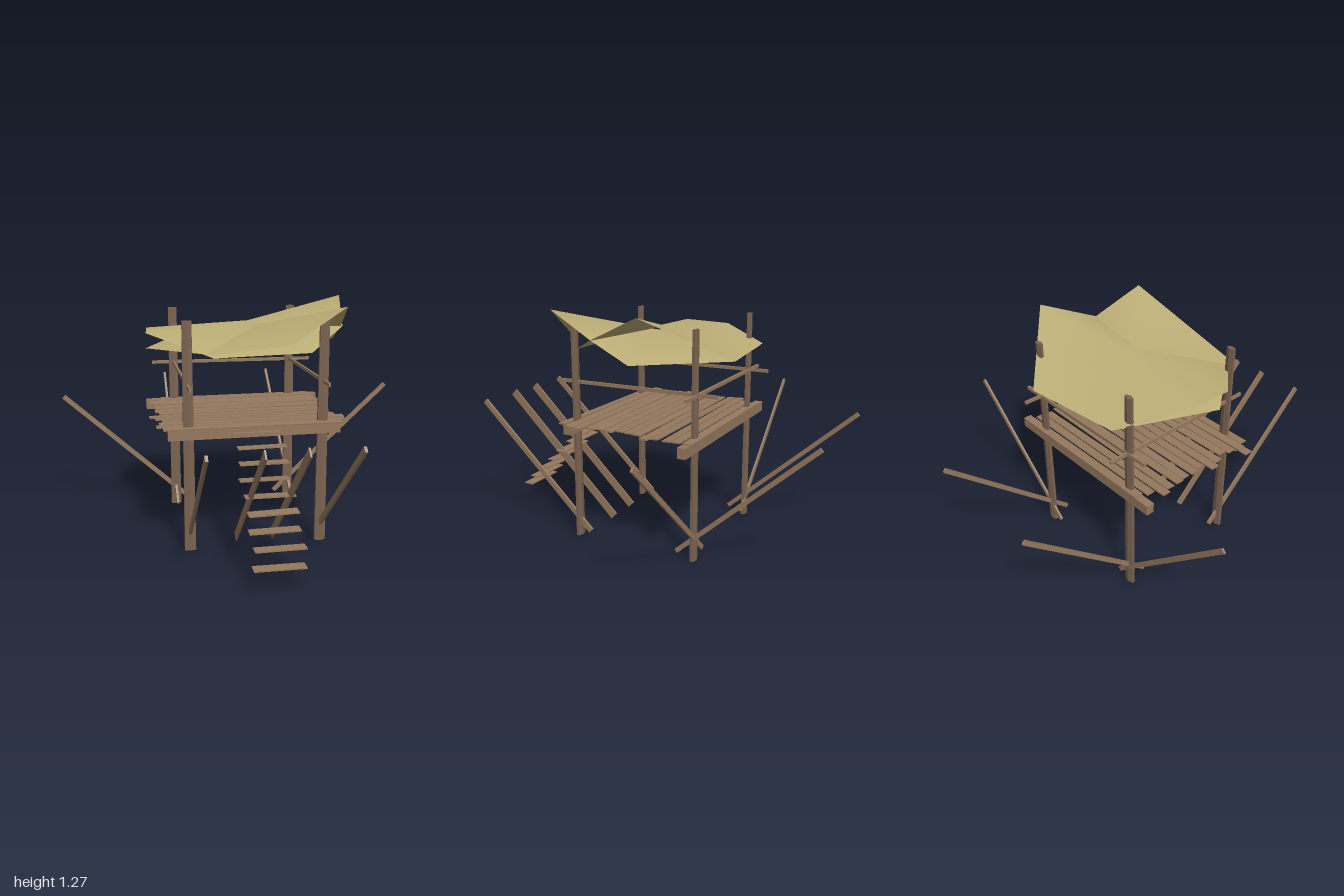
import * as THREE from 'three';

const wood = new THREE.MeshStandardMaterial({ color: 0x94785d, flatShading: true });
const darkWood = new THREE.MeshStandardMaterial({ color: 0x7a6350, flatShading: true });
const cloth = new THREE.MeshStandardMaterial({ color: 0xbdae76, side: THREE.DoubleSide });

export function createModel() {
  const model = new THREE.Group();
  let seed = 7;
  const rand = (a) => {
    seed = (seed * 16807) % 2147483647;
    return (seed / 2147483647 * 2 - 1) * a;
  };

  const add = (name, geometry, material) => {
    const mesh = new THREE.Mesh(geometry, material);
    mesh.name = name;
    model.add(mesh);
    return mesh;
  };

  // Straight timber between two points
  const bar = (name, from, to, width, height, material = wood) => {
    const a = new THREE.Vector3(...from), b = new THREE.Vector3(...to);
    const mesh = add(name, new THREE.BoxGeometry(width, height, a.distanceTo(b)), material);
    mesh.position.copy(a).add(b).multiplyScalar(0.5);
    mesh.lookAt(b);
    return mesh;
  };

  // Flattened, slightly tapered corner posts
  for (const x of [-0.345, 0.358]) {
    for (const z of [-0.35, 0.35]) {
      const post = add('post', new THREE.CylinderGeometry(0.028, 0.034, 1.2, 6), darkWood);
      post.scale.z = 0.5;
      post.position.set(x, 0.6, z);
    }
  }

  // Floor beams and planks
  bar('backBeam', [-0.51, 0.63, -0.36], [0.53, 0.63, -0.36], 0.045, 0.055);
  bar('frontBeam', [-0.45, 0.63, 0.355], [0.45, 0.63, 0.355], 0.045, 0.055);
  const planks = 14;
  for (let i = 0; i < planks; i++) {
    const z = -0.36 + i * 0.73 / (planks - 1);
    const plank = add('floorPlank', new THREE.BoxGeometry(0.95 + rand(0.05), 0.007, 0.047), wood);
    plank.position.set(rand(0.03), 0.661 + rand(0.003), z);
    plank.rotation.set(rand(0.1), rand(0.015), rand(0.003));
  }

  // Guard rails on the back and both sides
  bar('backRail', [-0.47, 0.88, -0.36], [0.485, 0.875, -0.36], 0.014, 0.018);
  for (const x of [-0.345, 0.358]) {
    bar('sideRail', [x, 0.875, 0.46], [x, 0.88, -0.47], 0.012, 0.018);
  }

  // Leaning poles spreading out from the post feet
  for (const s of [-1, 1]) {
    bar('sidePole', [s * 0.27, 0.035, -0.357], [s * 0.985, 0.695, -0.357], 0.012, 0.026);
    const x = s < 0 ? -0.345 : 0.358;
    bar('backPole', [x, 0.03, -0.25], [x, 0.695, -0.988], 0.014, 0.024);
    bar('frontPole', [x, 0.03, 0.28], [x, 0.695, 0.985], 0.014, 0.03);
  }

  // Front boards and flight of steps
  for (const x of [-0.09, 0.108]) {
    bar('stairBoard', [x, 0.022, 0.285], [x, 0.695, 0.98], 0.009, 0.048);
  }
  for (let i = 0; i < 9; i++) {
    const step = add('stairStep', new THREE.BoxGeometry(0.25, 0.006, 0.06), wood);
    step.position.set(0.008 + rand(0.01), 0.125 + i * 0.063, 0.895 - i * 0.0655);
    step.rotation.set(rand(0.06), rand(0.02), rand(0.01));
  }

  // Canopy sheet: a fan of folds round a centre point
  const sheet = (name, centre, rim) => {
    const geometry = new THREE.BufferGeometry();
    geometry.setAttribute('position', new THREE.Float32BufferAttribute([centre, ...rim].flat(), 3));
    const index = [];
    rim.forEach((_, i) => index.push(0, i + 1, (i + 1) % rim.length + 1));
    geometry.setIndex(index);
    geometry.computeVertexNormals();
    add(name, geometry, cloth);
  };
  sheet('rearCanopy', [0.03, 1.155, 0], [
    [0.6, 1.27, -0.16], [0.22, 1.035, -0.5], [-0.32, 1.04, -0.44], [-0.51, 1.11, -0.15],
    [-0.53, 1.115, 0.13], [-0.23, 1.03, 0.47], [0.28, 1.03, 0.4], [0.52, 1.13, 0.15],
  ]);
  sheet('frontCanopy', [0.02, 1.13, 0.05], [
    [0.45, 1.26, 0.43], [0.51, 1.13, 0.15], [0.54, 1.03, -0.08], [0.2, 1.03, -0.49],
    [-0.31, 1.03, -0.43], [-0.53, 1.03, 0.08], [-0.23, 1.045, 0.47], [0.14, 1.09, 0.525],
  ]);

  return model;
}
